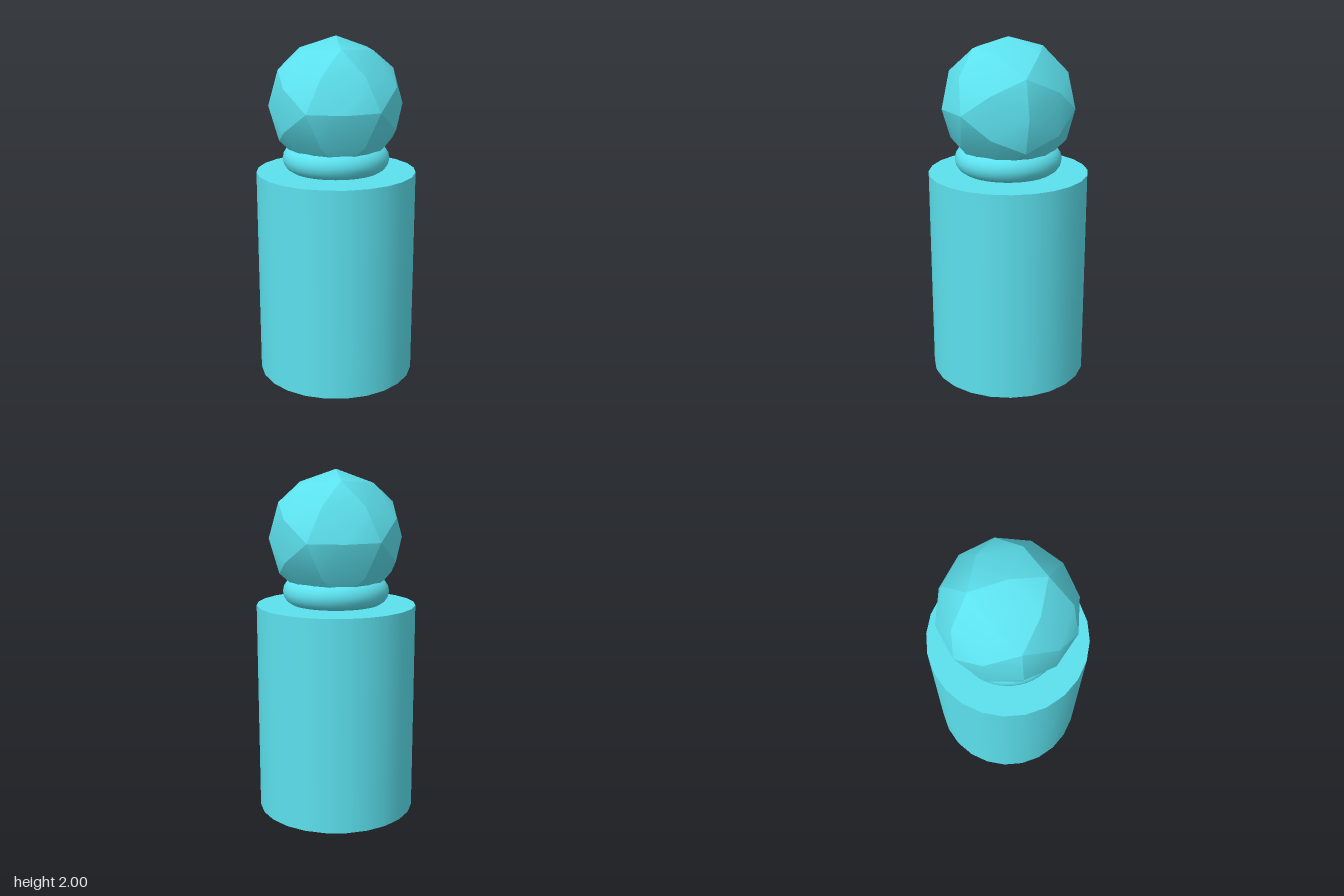
import * as THREE from 'three';
import { mergeVertices, mergeGeometries } from 'three/addons/utils/BufferGeometryUtils.js';

// Subdivided icosahedron: smooth within each of the 20 main faces, sharp between them
function facetedBall(radius) {
  const source = new THREE.IcosahedronGeometry(radius, 1).getAttribute('position').array;
  const perFace = 4 * 3 * 3; // four triangles per main face
  const faces = [];
  for (let i = 0; i < source.length; i += perFace) {
    const face = new THREE.BufferGeometry();
    face.setAttribute('position', new THREE.BufferAttribute(source.slice(i, i + perFace), 3));
    const welded = mergeVertices(face, 1e-4);
    welded.computeVertexNormals();
    faces.push(welded);
  }
  return mergeGeometries(faces).rotateY(Math.PI / 2);
}

export function createModel() {
  const group = new THREE.Group();
  const material = new THREE.MeshStandardMaterial({ color: 0x5ce1ee });

  const add = (name, geometry, y) => {
    const mesh = new THREE.Mesh(geometry, material);
    mesh.name = name;
    mesh.position.y = y;
    group.add(mesh);
  };

  const bodyHeight = 1.231, tube = 0.077, ballRadius = 0.385;

  // Cylindrical body
  add('body', new THREE.CylinderGeometry(0.4615, 0.4615, bodyHeight, 24), bodyHeight / 2);

  // Ring collar lying on the body
  add('collar', new THREE.TorusGeometry(0.231, tube, 16, 48).rotateX(Math.PI / 2), bodyHeight + tube);

  // Faceted head resting in the collar
  add('head', facetedBall(ballRadius), 2 - ballRadius);

  return group;
}
